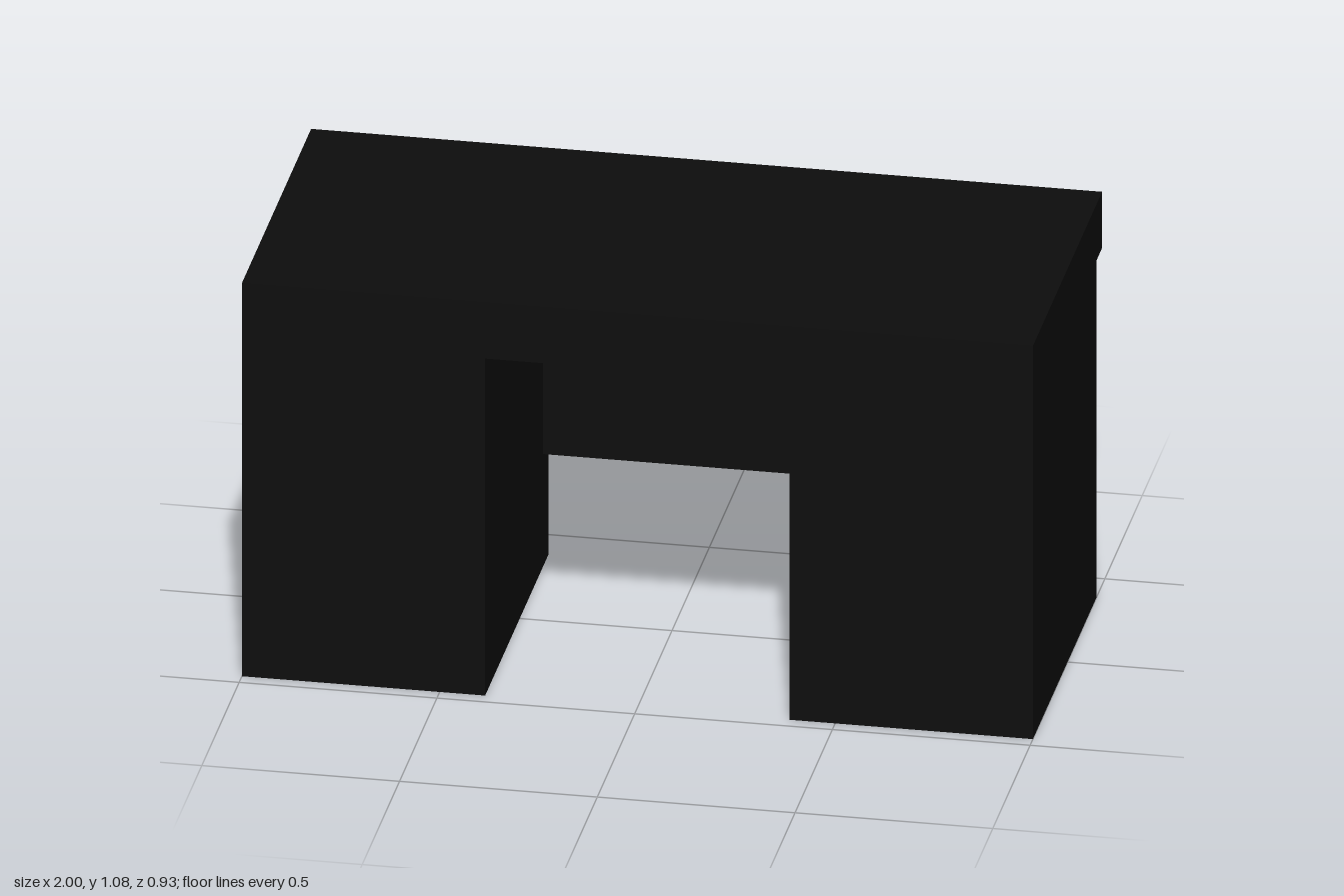
import * as THREE from 'three';

const blackWood = new THREE.MeshStandardMaterial({ color: 0x0d0d0d });
const blueHandle = new THREE.MeshStandardMaterial({ color: 0x2f7399 });
blackWood.name = 'black wood';
blueHandle.name = 'blue handle';

const FRONT = 0.463;
const BACK = -0.385; // back of the pedestals, behind which the top overhangs
const UNDERSIDE = 0.923;

// Box given by its extents along each axis
function block(name, material, [x0, x1], [y0, y1], [z0, z1]) {
  const mesh = new THREE.Mesh(new THREE.BoxGeometry(x1 - x0, y1 - y0, z1 - z0), material);
  mesh.position.set((x0 + x1) / 2, (y0 + y1) / 2, (z0 + z1) / 2);
  mesh.name = name;
  return mesh;
}

export function createModel() {
  const desk = new THREE.Group();
  desk.name = 'desk';

  // Thick top, flush at the front and sides
  desk.add(block('desktop', blackWood, [-1, 1], [UNDERSIDE, 1.077], [-FRONT, FRONT]));

  // Panel closing the knee space at the back
  desk.add(block('modestyPanel', blackWood, [-0.385, 0.385], [0.31, UNDERSIDE], [BACK, BACK + 0.077]));

  // Drawer pedestals, each with two handles let into the front
  for (const side of [-1, 1]) {
    const label = side > 0 ? 'left' : 'right';
    const span = (a, b) => (side > 0 ? [a, b] : [-b, -a]);
    const pedestal = new THREE.Group();
    pedestal.name = label + 'Pedestal';
    pedestal.add(block(label + 'Cabinet', blackWood, span(0.385, 1), [0, UNDERSIDE], [BACK, FRONT]));
    for (const [level, y] of [['Lower', 0.23], ['Upper', 0.63]]) {
      pedestal.add(block(label + level + 'Handle', blueHandle,
        span(0.46, 0.925), [y, y + 0.062], [FRONT - 0.0085, FRONT - 0.0005]));
    }
    desk.add(pedestal);
  }
  return desk;
}
